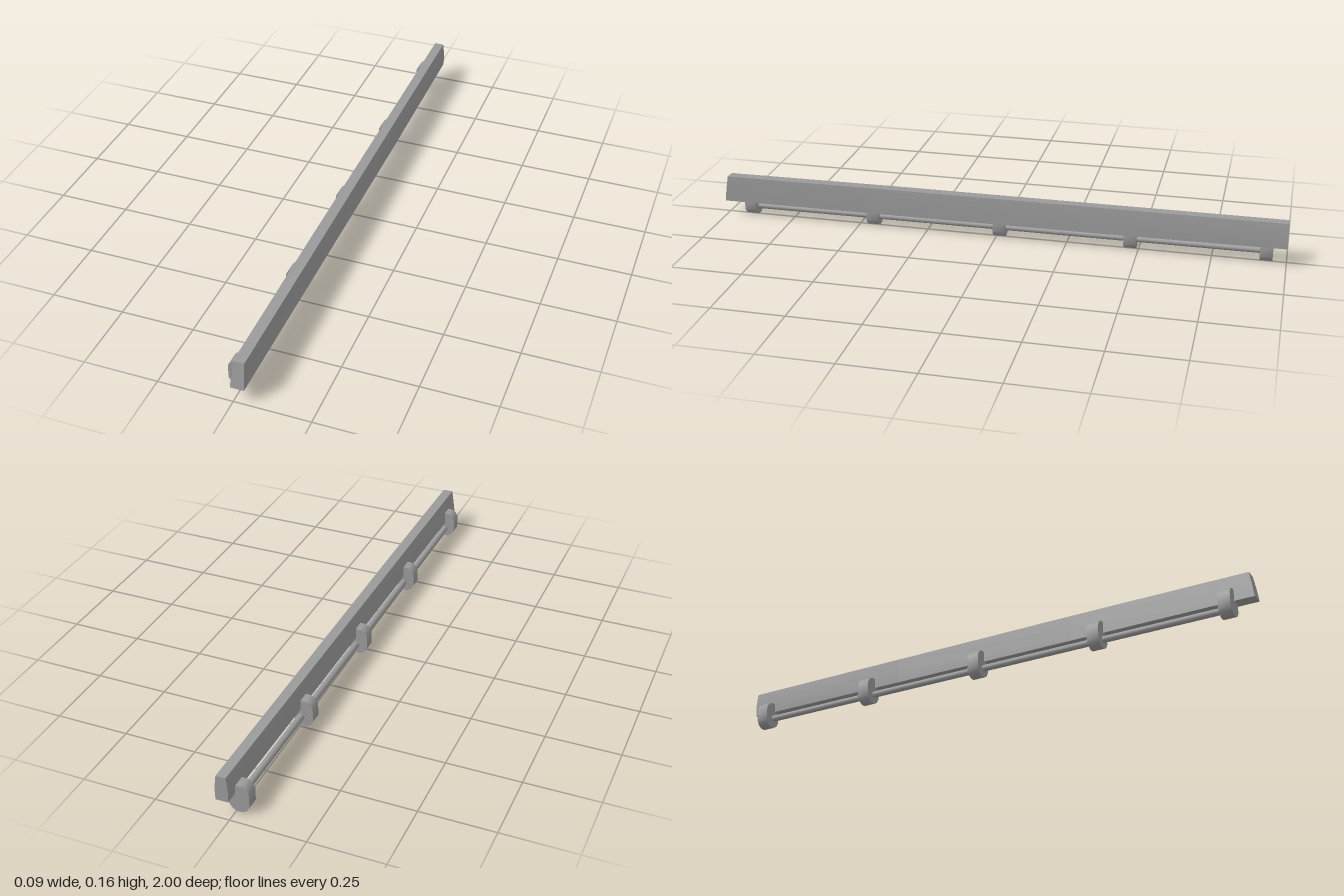
import * as THREE from 'three';
import { toCreasedNormals } from 'three/addons/utils/BufferGeometryUtils.js';

const material = new THREE.MeshStandardMaterial({ color: 0x9a9a9a });
const crease = 0.6;

// Slightly warped plank lofted through sections [x, y, z] whose sides bow outwards towards the back
function beamGeometry() {
  const sections = [
    [[-0.008, 0.055, 1], [0.037, 0.055, 1], [0.037, 0.105, 0.993], [0.036, 0.149, 0.985], [0, 0.149, 0.985], [-0.004, 0.105, 0.993]],
    [[-0.005, 0.058, 0.35], [0.04, 0.058, 0.35], [0.04, 0.107, 0.35], [0.037, 0.153, 0.35], [0, 0.153, 0.35], [-0.003, 0.107, 0.35]],
    [[-0.002, 0.062, -0.35], [0.043, 0.062, -0.35], [0.042, 0.109, -0.35], [0.037, 0.155, -0.35], [0.002, 0.155, -0.35], [-0.001, 0.109, -0.35]],
    [[0.001, 0.067, -1], [0.042, 0.067, -1], [0.043, 0.11, -1], [0.037, 0.156, -1], [0.004, 0.157, -1], [-0.001, 0.11, -1]],
  ];
  const n = 6, end = (sections.length - 1) * n, index = [];
  for (let s = 0; s < end; s += n) {
    for (let i = 0; i < n; i++) {
      const a = s + i, b = s + (i + 1) % n;
      index.push(a, a + n, b, b, a + n, b + n);
    }
  }
  // End caps
  for (let i = 1; i < n - 1; i++) {
    index.push(0, i, i + 1, end, end + i + 1, end + i);
  }
  const g = new THREE.BufferGeometry();
  g.setAttribute('position', new THREE.Float32BufferAttribute(sections.flat(2), 3));
  g.setIndex(index);
  return toCreasedNormals(g, crease);
}

// Upright oval plate, extruded along z
function bracketGeometry(depth) {
  const r = 0.035, rise = 0.0145, points = [];
  for (let i = 0; i < 12; i++) {
    const a = (i + 0.5) * Math.PI / 6;
    points.push(new THREE.Vector2(r * Math.cos(a), r * Math.sin(a) + (i < 6 ? rise : -rise)));
  }
  const g = new THREE.ExtrudeGeometry(new THREE.Shape(points), { depth, bevelEnabled: false });
  return toCreasedNormals(g.translate(0, 0, -depth / 2), crease);
}

export function createModel() {
  const model = new THREE.Group();
  const add = (name, geometry) => {
    const mesh = new THREE.Mesh(geometry, material);
    mesh.name = name;
    model.add(mesh);
    return mesh;
  };

  add('beam', beamGeometry());

  // Five evenly spaced brackets
  const bracket = bracketGeometry(0.043);
  for (let i = 0; i < 5; i++) {
    add('bracket' + (i + 1), bracket).position.set(-0.0105, 0.0485, 0.91 - i * 0.4605);
  }

  // Thin rod threaded through the brackets, tilted very slightly
  const start = new THREE.Vector3(-0.007, 0.03, 0.91);
  const end = new THREE.Vector3(-0.002, 0.038, -0.932);
  const direction = end.clone().sub(start);
  const rod = add('rod', new THREE.CylinderGeometry(0.0115, 0.0115, direction.length(), 12));
  rod.position.copy(start).add(end).multiplyScalar(0.5);
  rod.quaternion.setFromUnitVectors(new THREE.Vector3(0, 1, 0), direction.normalize());

  return model;
}
